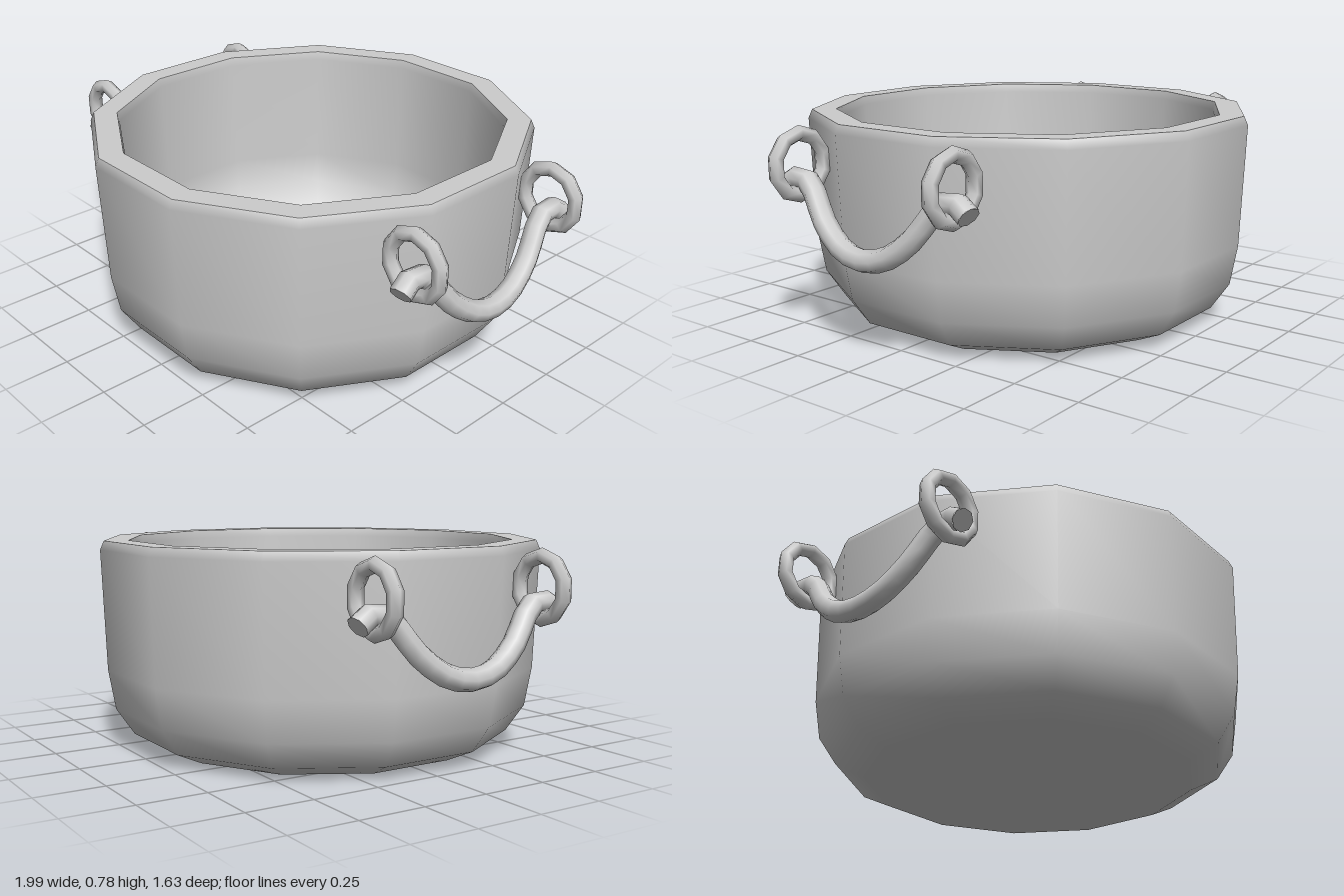
import * as THREE from 'three';
import { mergeGeometries } from 'three/addons/utils/BufferGeometryUtils.js';

const metal = new THREE.MeshStandardMaterial({ color: 0xcccccc });
metal.name = 'grey metal';

function addMesh(parent, name, geometry) {
  const mesh = new THREE.Mesh(geometry, metal);
  mesh.name = name;
  parent.add(mesh);
  return mesh;
}

// Twelve-sided band; profile points give the distance to the flat sides and the height
function band(points) {
  const k = 1 / Math.cos(Math.PI / 12);
  return new THREE.LatheGeometry(
    points.map(([r, y]) => new THREE.Vector2(r * k, y)), 12, Math.PI / 12);
}

// Drooping bail with closed, down-turned ends
function handleGeometry() {
  const half = [[0.418, 0.56], [0.38, 0.587], [0.335, 0.596], [0.285, 0.565], [0.20, 0.457], [0.10, 0.384]];
  const pts = [...half, [0, 0.362], ...half.map(([z, y]) => [-z, y]).reverse()];
  const curve = new THREE.CatmullRomCurve3(
    pts.map(([z, y]) => new THREE.Vector3(0.86 + (0.6 - y) * 0.24, y, z)));
  const parts = [new THREE.TubeGeometry(curve, 18, 0.04, 8)];
  for (const t of [0, 1]) {
    const out = curve.getTangentAt(t).multiplyScalar(t ? 1 : -1);
    const cap = new THREE.CircleGeometry(0.04, 8);
    cap.applyQuaternion(new THREE.Quaternion().setFromUnitVectors(new THREE.Vector3(0, 0, 1), out));
    const p = curve.getPointAt(t);
    parts.push(cap.translate(p.x, p.y, p.z));
  }
  return mergeGeometries(parts);
}

export function createModel() {
  const model = new THREE.Group();
  model.name = 'cookingPot';

  // Pot body: the shell runs smoothly from base to rim, inside and out
  const pot = new THREE.Group();
  pot.name = 'pot';
  model.add(pot);
  addMesh(pot, 'outerShell', band([
    [0, 0], [0.605, 0], [0.71, 0.05], [0.775, 0.15], [0.8, 0.3], [0.816, 0.75], [0.802, 0.783]]));
  addMesh(pot, 'rimTop', band([[0.802, 0.783], [0.715, 0.783]]));
  addMesh(pot, 'innerShell', band([
    [0.715, 0.783], [0.708, 0.75], [0.695, 0.3], [0.67, 0.17], [0.61, 0.085], [0.52, 0.05], [0, 0.05]]));

  // Rings and handle on each side; half a turn gives the opposite side
  const bail = handleGeometry();
  const ring = new THREE.TorusGeometry(0.109, 0.028, 6, 10).rotateZ(Math.PI / 10);
  for (const side of ['left', 'right']) {
    const group = new THREE.Group();
    group.name = side + 'Handle';
    if (side === 'right') group.rotation.y = Math.PI;
    model.add(group);
    addMesh(group, 'handleBar', bail);
    for (const z of [0.35, -0.35]) {
      addMesh(group, z > 0 ? 'ringA' : 'ringB', ring).position.set(0.864, 0.64, z);
    }
  }
  return model;
}
